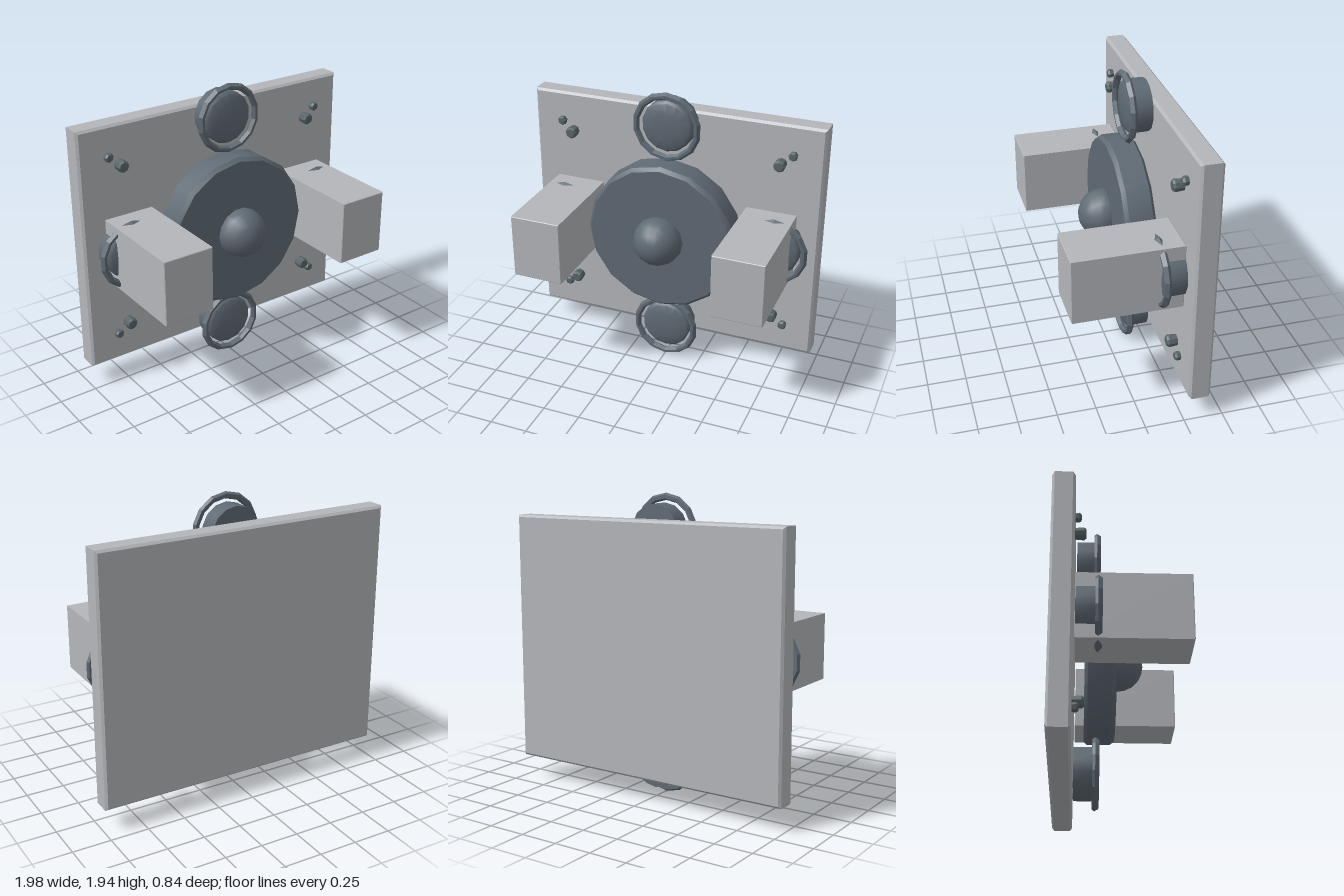
import * as THREE from 'three';
import { toCreasedNormals } from 'three/addons/utils/BufferGeometryUtils.js';

const lightGrey = new THREE.MeshStandardMaterial({ color: 0xb4b6ba });
lightGrey.name = 'lightGrey';
const slateGrey = new THREE.MeshStandardMaterial({ color: 0x5f6a74 });
slateGrey.name = 'slateGrey';
const boltGrey = new THREE.MeshStandardMaterial({ color: 0x59666a });
boltGrey.name = 'boltGrey';

const MID_Y = 0.97;

// Turned part with its axis along z; profile is [radius, z], rear to front
function turned(profile, sides, crease = 0.6) {
  const points = profile.map(([r, z]) => new THREE.Vector2(r, z));
  const geo = new THREE.LatheGeometry(points, sides).rotateX(Math.PI / 2);
  return toCreasedNormals(geo, crease);
}

// Box with small bevels on all edges
function bevelBox(w, h, d, b) {
  const x = w / 2 - b, y = h / 2 - b;
  const shape = new THREE.Shape([[-x, -y], [x, -y], [x, y], [-x, y]].map(p => new THREE.Vector2(...p)));
  return new THREE.ExtrudeGeometry(shape, {
    depth: d - 2 * b, bevelEnabled: true, bevelThickness: b, bevelSize: b, bevelSegments: 1,
  }).translate(0, 0, b - d / 2);
}

function add(parent, name, geo, material, x = 0, y = 0, z = 0) {
  const mesh = new THREE.Mesh(geo, material);
  mesh.name = name;
  mesh.position.set(x, y, z);
  parent.add(mesh);
  return mesh;
}

export function createModel() {
  const model = new THREE.Group();
  model.name = 'wallPanel';

  // Back plate
  add(model, 'backPlate', bevelBox(1.98, 1.63, 0.14, 0.015), lightGrey, 0, MID_Y, -0.35);

  // Large central disc with chamfered rims, and its round hub
  const disc = turned([[0, -0.21], [0.485, -0.21], [0.507, -0.19], [0.507, -0.04], [0.485, -0.015], [0, -0.015]], 16, 0.45);
  add(model, 'centralDisc', disc, slateGrey, 0, MID_Y);
  add(model, 'hubBall', new THREE.SphereGeometry(0.165, 14, 10).rotateX(Math.PI / 2), slateGrey, 0, MID_Y, 0);

  // Four domed knobs, each circled by a loose collar
  const knob = turned([[0, -0.27], [0.168, -0.27], [0.17, -0.15], [0.155, -0.135], [0.09, -0.122], [0, -0.115]], 14);
  const collar = turned([[0.195, -0.155], [0.218, -0.155], [0.23, -0.138], [0.215, -0.113],
    [0.198, -0.113], [0.185, -0.135], [0.195, -0.155]], 14, 0.3);
  for (const [place, x, y] of [['top', 0, 1.71], ['bottom', 0, 0.235], ['left', 0.73, MID_Y], ['right', -0.73, MID_Y]]) {
    add(model, place + 'Knob', knob, slateGrey, x, y);
    add(model, place + 'Collar', collar, slateGrey, x, y);
  }

  // Projecting side blocks
  for (const [side, s] of [['left', 1], ['right', -1]]) {
    add(model, side + 'Block', bevelBox(0.335, 0.425, 0.69, 0.004), lightGrey, s * 0.672, 0.972, 0.073);
  }

  // Pairs of bolt heads in the four corners
  const bigBolt = turned([[0, -0.285], [0.036, -0.285], [0.04, -0.225], [0.03, -0.212], [0, -0.21]], 8);
  const smallBolt = turned([[0, -0.285], [0.027, -0.285], [0.031, -0.255], [0.022, -0.242], [0, -0.24]], 7);
  for (const sx of [-1, 1]) {
    for (const sy of [-1, 1]) {
      add(model, 'largeBolt', bigBolt, boltGrey, sx * 0.715, MID_Y + sy * 0.555);
      add(model, 'smallBolt', smallBolt, boltGrey, sx * 0.792, MID_Y + sy * 0.62);
    }
  }
  return model;
}
